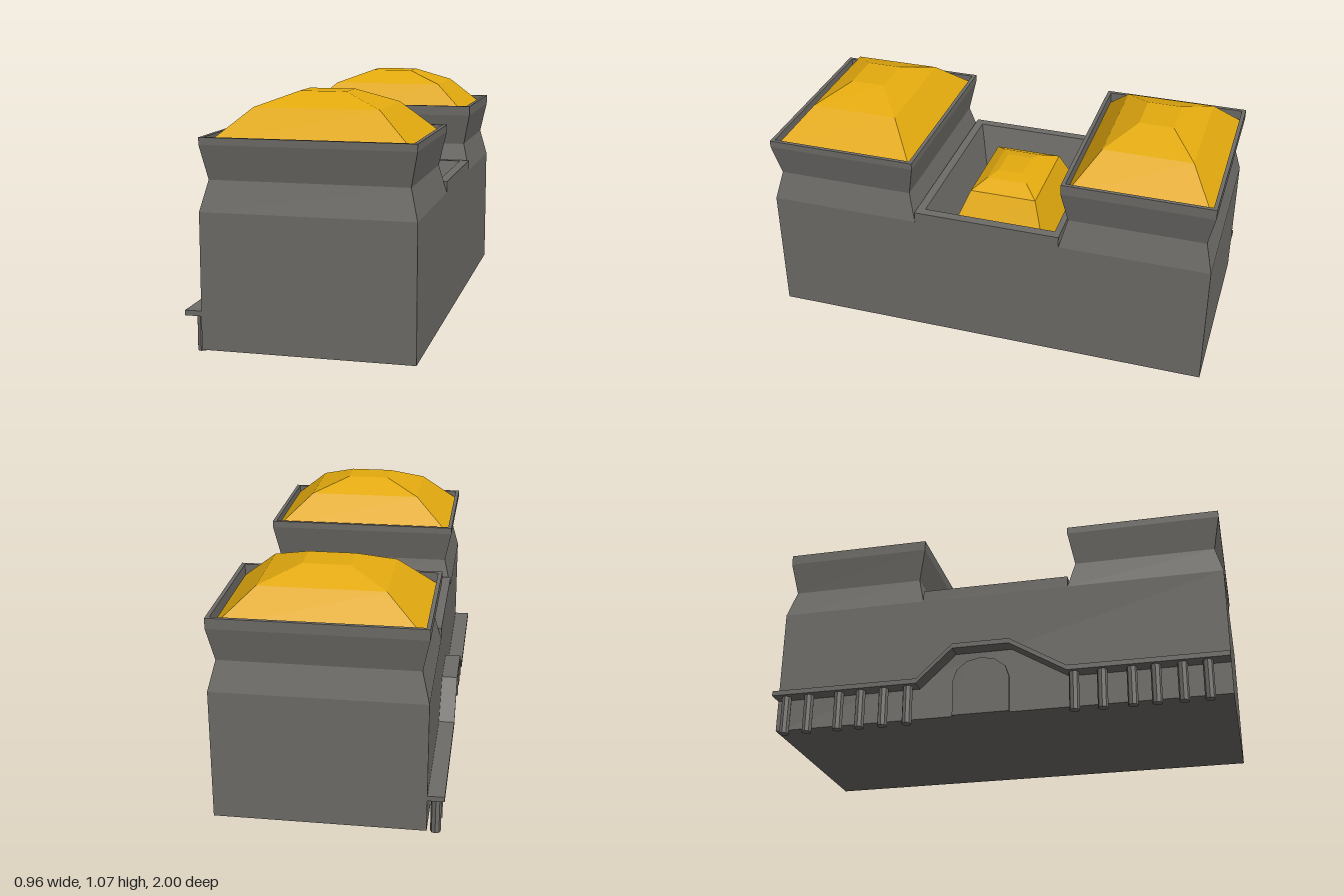
import * as THREE from 'three';

const stone = new THREE.MeshStandardMaterial({ color: 0x6e6c68, flatShading: true });
const gold = new THREE.MeshStandardMaterial({ color: 0xe3aa0e, flatShading: true });

// Skin through rectangles [x0, x1, z0, z1, y]; optional caps at both ends
function rectLoft(rings, capBottom = false, capTop = true) {
  const pos = [];
  const corners = ([x0, x1, z0, z1, y]) => [[x0, y, z1], [x1, y, z1], [x1, y, z0], [x0, y, z0]];
  const quad = (a, b, c, d) => pos.push(...a, ...b, ...c, ...a, ...c, ...d);
  for (let i = 0; i < rings.length - 1; i++) {
    const lo = corners(rings[i]), hi = corners(rings[i + 1]);
    for (let k = 0; k < 4; k++) {
      const n = (k + 1) % 4;
      quad(lo[k], lo[n], hi[n], hi[k]);
    }
  }
  if (capTop) quad(...corners(rings[rings.length - 1]));
  if (capBottom) quad(...corners(rings[0]).reverse());
  const geo = new THREE.BufferGeometry();
  geo.setAttribute('position', new THREE.Float32BufferAttribute(pos, 3));
  geo.computeVertexNormals();
  return geo;
}

// Outline of [z, y] points, extruded outwards from the -x wall
function wallExtrude(points, depth) {
  const shape = new THREE.Shape(points.map(([z, y]) => new THREE.Vector2(z, y)));
  const geo = new THREE.ExtrudeGeometry(shape, { depth, bevelEnabled: false });
  geo.rotateY(-Math.PI / 2);
  geo.translate(-0.41, 0, 0);
  return geo;
}

export function createModel() {
  const model = new THREE.Group();
  const add = (name, geo, mat, parent = model) => {
    const mesh = new THREE.Mesh(geo, mat);
    mesh.name = name;
    parent.add(mesh);
    return mesh;
  };
  const X0 = -0.41, X1 = 0.477;

  // Main block, open on top where the towers and basin close it
  add('mainBlock', rectLoft([[X0, X1, -1, 1, 0.03], [X0, X1, -1, 1, 0.6]], true, false), stone);

  // Waisted end towers with a sunken rim and a stepped roof
  const towers = [
    { name: 'frontTower', z0: 0.32, z1: 1, top: 0.9 },
    { name: 'backTower', z0: -1, z1: -0.34, top: 0.915 },
  ];
  for (const { name, z0, z1, top } of towers) {
    const tower = new THREE.Group();
    tower.name = name;
    const ring = (d, y) => [X0 + d, X1 - d, z0 + d, z1 - d, y];
    add('towerWalls', rectLoft([
      ring(0, 0.6), ring(0.032, 0.727), ring(0.003, 0.87), ring(0.003, top),
      ring(0.02, top), ring(0.02, 0.865),
    ]), stone, tower);
    const zc = (z0 + z1) / 2, half = (z1 - z0) / 2 - 0.02;
    add('towerRoof', rectLoft([
      [-0.39, 0.457, zc - half, zc + half, 0.865],
      [-0.225, 0.295, zc - 0.195, zc + 0.195, 1.01],
      [-0.065, 0.13, zc - 0.075, zc + 0.075, 1.07],
    ]), gold, tower);
    model.add(tower);
  }

  // Middle parapet with sloping inner walls
  add('middleBasin', rectLoft([
    [X0, X1, -0.34, 0.32, 0.6],
    [X0, X1, -0.34, 0.32, 0.65],
    [-0.37, 0.435, -0.313, 0.283, 0.65],
    [-0.30, 0.367, -0.26, 0.235, 0.41],
  ]), stone);
  add('middleRoof', rectLoft([
    [-0.30, 0.367, -0.26, 0.235, 0.41],
    [-0.175, 0.237, -0.167, 0.137, 0.655],
    [-0.1, 0.165, -0.105, 0.08, 0.692],
    [-0.04, 0.105, -0.07, 0.045, 0.705],
  ]), gold);

  // Ledge along the side wall, rising over the doorway
  const ledge = [[-1, 0.17], [-0.34, 0.17], [-0.18, 0.32], [0.07, 0.32], [0.32, 0.17], [1, 0.17]];
  const upper = ledge.map(([z, y]) => [z, y + 0.022]).reverse();
  add('ledge', wallExtrude([...ledge, ...upper], 0.07), stone);

  // Arched door
  const door = [[-0.19, 0.03], [0.06, 0.03]];
  for (let i = 0; i <= 6; i++) {
    const a = (i / 6) * Math.PI;
    door.push([-0.065 + 0.125 * Math.cos(a), 0.19 + 0.1 * Math.sin(a)]);
  }
  add('door', wallExtrude(door, 0.015), stone);

  // Columns carrying the ledge
  const columnGeo = new THREE.CylinderGeometry(0.022, 0.022, 0.172, 8);
  const columnZ = [0.905, 0.8, 0.69, 0.59, 0.465, 0.345, -0.385, -0.495, -0.6, -0.7, -0.84, -0.945];
  for (const z of columnZ) add('column', columnGeo, stone).position.set(-0.443, 0.086, z);

  return model;
}
